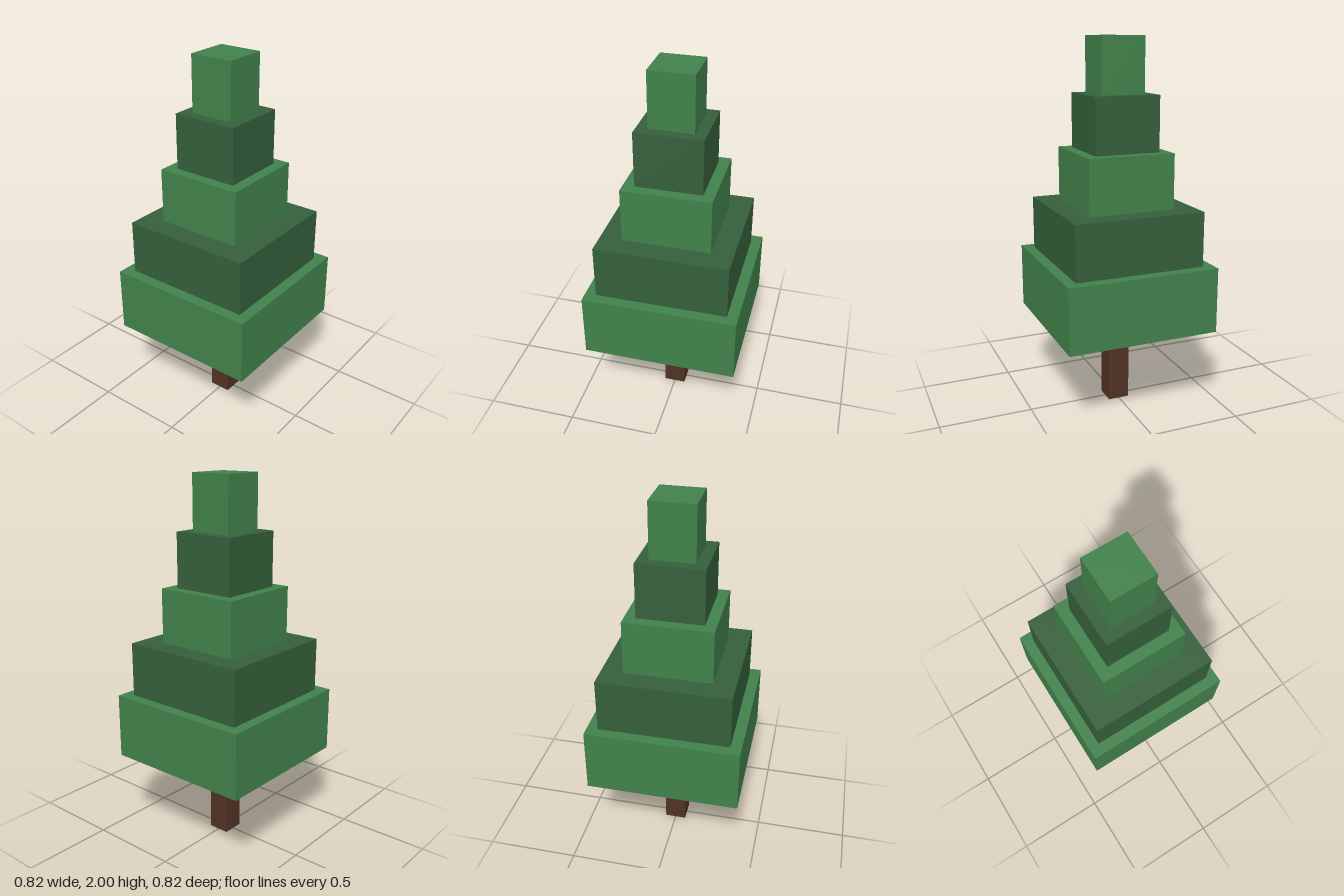
import * as THREE from 'three';

const UNIT = 1 / 17; // the tree is 34 units tall

export function createModel() {
  const tree = new THREE.Group();
  tree.name = 'blockTree';

  const bark = new THREE.MeshStandardMaterial({ name: 'bark', color: 0x513224 });
  const lightLeaf = new THREE.MeshStandardMaterial({ name: 'lightLeaf', color: 0x41824b });
  const darkLeaf = new THREE.MeshStandardMaterial({ name: 'darkLeaf', color: 0x35603b });

  // Stacks square blocks upwards from the ground
  let base = 0;
  function addBlock(name, halfWidth, height, material) {
    const width = 2 * halfWidth * UNIT;
    const block = new THREE.Mesh(
      new THREE.BoxGeometry(width, height * UNIT, width), material);
    block.name = name;
    block.position.y = (base + height / 2) * UNIT;
    base += height;
    tree.add(block);
  }

  // Trunk
  addBlock('trunk', 1, 8, bark);

  // Foliage tiers, alternating light and dark, narrowing to the top
  [7, 6, 4, 3, 2].forEach((halfWidth, i) => {
    addBlock(`foliageTier${i + 1}`, halfWidth, i === 0 ? 6 : 5, i % 2 ? darkLeaf : lightLeaf);
  });

  return tree;
}
